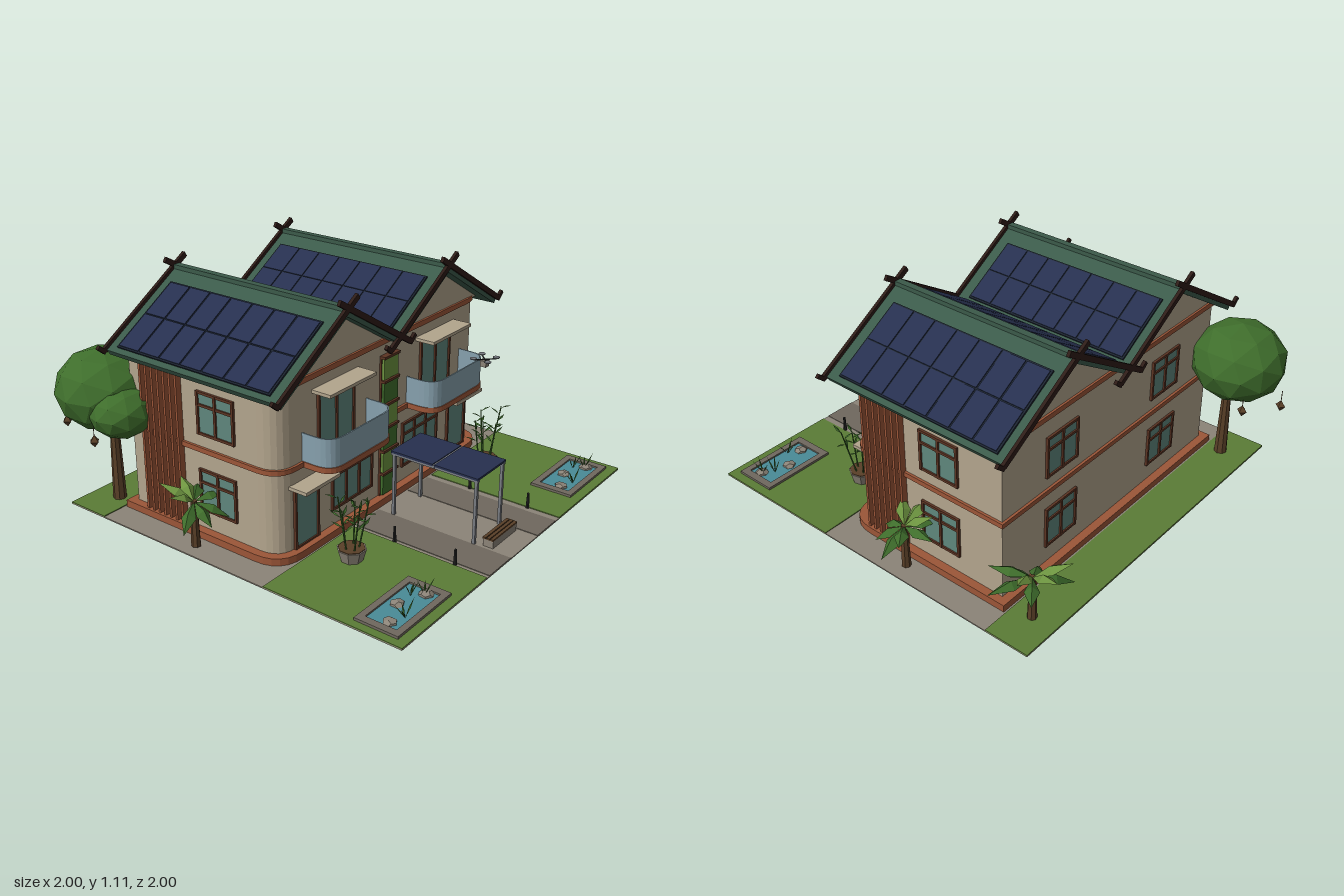
import * as THREE from 'three';

const C = {
  wall: 0xb3a58d, brick: 0x9c5638, frame: 0x5c3423, glass: 0x5f877d, roof: 0x3b5a4a, solar: 0x27304f,
  solarFrame: 0x1c2430, barge: 0x2e1c17, grass: 0x5b7c36, stone: 0x8c8478, paving: 0x6f685e, rail: 0x87a1ae,
  metal: 0x777a80, water: 0x4a8c98, leaf: 0x3f6e2c, leafLight: 0x6d9440, bark: 0x5a4028, dark: 0x222222,
};
const mats = {};
const mat = (c) => (mats[c] ??= new THREE.MeshStandardMaterial({ color: C[c], flatShading: true, side: THREE.DoubleSide }));

function add(parent, name, geo, color, x = 0, y = 0, z = 0) {
  const m = new THREE.Mesh(geo, mat(color));
  m.name = name;
  m.position.set(x, y, z);
  parent.add(m);
  return m;
}
// Box given by its extents
const box = (p, name, color, x0, x1, y0, y1, z0, z1) =>
  add(p, name, new THREE.BoxGeometry(x1 - x0, y1 - y0, z1 - z0), color, (x0 + x1) / 2, (y0 + y1) / 2, (z0 + z1) / 2);

function group(parent, name, x = 0, y = 0, z = 0, ry = 0) {
  const g = new THREE.Group();
  g.name = name;
  g.position.set(x, y, z);
  g.rotation.y = ry;
  parent.add(g);
  return g;
}

// Plan outline with rounded front corners; shape y is -z
function plan(x0, x1, zb, zf, r, T = THREE.Shape) {
  const s = new T();
  s.moveTo(x0, -zb);
  s.lineTo(x0, -zf + r);
  s.quadraticCurveTo(x0, -zf, x0 + r, -zf);
  s.lineTo(x1 - r, -zf);
  s.quadraticCurveTo(x1, -zf, x1, -zf + r);
  s.lineTo(x1, -zb);
  s.closePath();
  return s;
}
function slab(parent, name, color, shape, y0, y1) {
  const geo = new THREE.ExtrudeGeometry(shape, { depth: y1 - y0, bevelEnabled: false, curveSegments: 6 });
  return add(parent, name, geo.rotateX(-Math.PI / 2), color, 0, y0, 0);
}

// Framed window facing +z, with columns and an optional transom
function windowUnit(parent, name, x, y, z, ry, w, h, cols, transom) {
  const g = group(parent, name, x, y, z, ry), t = 0.006;
  box(g, 'glass', 'glass', -w / 2, w / 2, -h / 2, h / 2, -0.01, 0.004);
  for (let i = 0; i <= cols; i++) {
    const bx = -w / 2 + (w * i) / cols;
    box(g, 'mullion', 'frame', bx - t, bx + t, -h / 2 - t, h / 2 + t, -0.01, 0.012);
  }
  for (const by of transom ? [-h / 2, h / 2, h * transom] : [-h / 2, h / 2])
    box(g, 'rail', 'frame', -w / 2, w / 2, by - t, by + t, -0.01, 0.011);
}

// Folded diamond leaf growing along +x
function leafGeo(len, w) {
  const v = [0, 0, 0, len * 0.5, -w * 0.2, w / 2, len, -w * 0.4, 0, len * 0.5, w * 0.2, 0, len * 0.5, -w * 0.2, -w / 2];
  const g = new THREE.BufferGeometry();
  g.setAttribute('position', new THREE.Float32BufferAttribute(v, 3));
  g.setIndex([0, 1, 3, 1, 2, 3, 0, 3, 4, 3, 2, 4]);
  g.computeVertexNormals();
  return g;
}
function leaf(parent, color, len, w, x, y, z, yaw, pitch) {
  const m = add(parent, 'leaf', leafGeo(len, w), color, x, y, z);
  m.rotation.set(0, yaw, pitch, 'YXZ');
}

function palm(parent, x, z, turn, spread) {
  const g = group(parent, 'palm', x, 0.01, z, turn);
  add(g, 'palmTrunk', new THREE.CylinderGeometry(0.014, 0.022, 0.22, 7), 'bark', 0, 0.11, 0);
  for (let i = 0; i < 9; i++)
    leaf(g, i % 3 ? 'leaf' : 'leafLight', spread * (0.85 + 0.15 * (i % 2)), 0.065, 0, 0.215, 0, i * 2.4, [0.65, -0.35, 0.2][i % 3]);
}

function pottedBamboo(parent, x, z, turn) {
  const g = group(parent, 'pottedBamboo', x, 0.01, z, turn);
  add(g, 'pot', new THREE.CylinderGeometry(0.066, 0.05, 0.055, 8), 'stone', 0, 0.028, 0);
  add(g, 'soil', new THREE.CylinderGeometry(0.06, 0.06, 0.006, 8), 'bark', 0, 0.056, 0);
  for (let i = 0; i < 5; i++) {
    const stalk = group(g, 'stalk', 0.03 * Math.cos(i * 1.26), 0.05, 0.03 * Math.sin(i * 1.26), i * 1.26);
    stalk.rotation.set(0, -i * 1.26, -0.12 - 0.06 * (i % 3), 'YXZ');
    const h = 0.2 + 0.03 * (i % 3);
    add(stalk, 'cane', new THREE.CylinderGeometry(0.003, 0.004, h, 5), 'leaf', 0, h / 2, 0);
    for (let k = 0; k < 5; k++) leaf(stalk, 'leaf', 0.06, 0.014, 0, h * (0.45 + 0.13 * k), 0, k * 2.3 + i, 0.6);
  }
}

function pond(parent, x) {
  const g = group(parent, 'pond', x, 0, 0.85);
  box(g, 'pondFloor', 'water', -0.16, 0.16, 0.005, 0.014, -0.075, 0.075);
  for (const s of [-1, 1]) {
    box(g, 'pondEdge', 'paving', s * 0.17 - 0.0175, s * 0.17 + 0.0175, 0.005, 0.022, -0.105, 0.105);
    box(g, 'pondEdge', 'paving', -0.153, 0.153, 0.005, 0.022, s * 0.09 - 0.015, s * 0.09 + 0.015);
  }
  [[-0.12, 0.02], [0, -0.03], [0.125, 0.025]].forEach(([rx, rz], i) => {
    const r = add(g, 'rock', new THREE.DodecahedronGeometry(0.033), 'stone', rx, 0.016, rz);
    r.scale.y = 0.5;
    r.rotation.y = i;
  });
  for (let i = 0; i < 12; i++) {
    const cx = [0.08, 0.12, -0.06][i % 3], cz = [-0.02, 0.02, 0.05][i % 3];
    leaf(g, 'leaf', 0.06 + 0.01 * (i % 4), 0.009, cx, 0.014, cz, i * 1.7, 1.2 - 0.1 * (i % 3));
  }
}

// One roof slope running down from the ridge towards side s
function roofSlope(parent, cx, s, run) {
  const a = 0.55, L = run / Math.cos(a), z0 = -0.65, z1 = 0.325;
  const g = group(parent, 'roofSlope', cx, 1.055, 0);
  g.rotation.z = -s * a;
  const b = (name, color, u0, u1, y0, y1, za, zb) => box(g, name, color, Math.min(s * u0, s * u1), Math.max(s * u0, s * u1), y0, y1, za, zb);
  b('roofSheet', 'roof', 0, L, -0.03, 0, z0, z1);
  b('solarFrame', 'solarFrame', 0.095, 0.495 * (run < 0.4 ? 0.86 : 1), 0, 0.008, -0.605, 0.265);
  const end = run < 0.4 ? 0.42 : 0.49, w = (end - 0.1) / 2, d = 0.86 / 7;
  for (let i = 0; i < 2; i++)
    for (let k = 0; k < 7; k++)
      b('solarPanel', 'solar', 0.1 + i * w + 0.003, 0.1 + (i + 1) * w - 0.003, 0, 0.012, -0.6 + k * d + 0.004, -0.6 + (k + 1) * d - 0.004);
  // Barge boards crossing at the ridge, with upturned ends
  for (const z of [z0 - 0.008, z1 + 0.004]) {
    b('bargeBoard', 'barge', -0.075, 0.53, -0.01, 0.016, z - 0.008, z + 0.008);
    const tip = b('bargeTip', 'barge', 0.515, 0.565, -0.006, 0.014, z - 0.008, z + 0.008);
    tip.position.y += 0.014;
    tip.rotation.z = s * 1.25;
  }
}

export function createModel() {
  const model = new THREE.Group();
  model.name = 'twinHouse';

  // Site
  const site = group(model, 'site');
  box(site, 'ground', 'stone', -0.91, 0.95, 0, 0.006, -0.86, 1);
  box(site, 'backLawn', 'grass', -0.91, 0.95, 0.004, 0.01, -0.86, -0.64);
  box(site, 'leftLawn', 'grass', -0.91, -0.295, 0.004, 0.01, 0.31, 1);
  box(site, 'rightLawn', 'grass', 0.335, 0.95, 0.004, 0.01, 0.31, 1);
  box(site, 'driveStrip', 'paving', -0.275, -0.1, 0.004, 0.009, 0.31, 1);
  box(site, 'driveStrip', 'paving', 0.135, 0.3, 0.004, 0.009, 0.31, 1);

  // Walls, plinth and brick bands follow one plan
  const house = group(model, 'house');
  const outline = (e) => plan(-0.74 - e, 0.78 + e, -0.59 - e, 0.26 + e, 0.11 + e);
  slab(house, 'plinth', 'brick', outline(0.04), 0.004, 0.04);
  slab(house, 'walls', 'wall', outline(0), 0.04, 0.79);
  slab(house, 'floorBand', 'brick', outline(0.012), 0.412, 0.435);
  slab(house, 'eavesBand', 'brick', outline(0.01), 0.785, 0.81);
  for (const cx of [-0.36, 0.4]) {
    const gable = new THREE.Shape([[-0.36, 0.8], [0.36, 0.8], [0, 1.025]].map(([x, y]) => new THREE.Vector2(x + cx, y)));
    add(house, 'gable', new THREE.ExtrudeGeometry(gable, { depth: 0.85, bevelEnabled: false }), 'wall', 0, 0, -0.59);
    const outer = Math.sign(cx);
    roofSlope(house, cx, outer, 0.445);
    roofSlope(house, cx, -outer, 0.38);
    box(house, 'ridgeCap', 'roof', cx - 0.017, cx + 0.017, 1.045, 1.065, -0.65, 0.325);
  }
  box(house, 'valleyGutter', 'roof', 0.005, 0.035, 0.8, 0.825, -0.65, 0.325);

  // Front openings and balconies, mirrored about x = 0.02
  for (const s of [-1, 1]) {
    const X = (d) => 0.02 + s * d;
    const span = (name, color, d, w, y0, y1, z0, z1) => box(house, name, color, X(d) - w / 2, X(d) + w / 2, y0, y1, z0, z1);
    windowUnit(house, 'frontWindow', X(0.265), 0.228, 0.26, 0, 0.285, 0.215, 3, 0.25);
    windowUnit(house, 'frontDoor', X(0.585), 0.185, 0.26, 0, 0.15, 0.285, 1, 0);
    windowUnit(house, 'balconyDoor', X(0.38), 0.572, 0.26, 0, 0.24, 0.275, 2, 0);
    span('doorCanopy', 'wall', 0.575, 0.23, 0.332, 0.348, 0.25, 0.35);
    span('balconyCanopy', 'wall', 0.38, 0.32, 0.72, 0.735, 0.25, 0.36);
    const a = X(0.38) - 0.23, b = X(0.38) + 0.23;
    slab(house, 'balconyFloor', 'brick', plan(a, b, 0.25, 0.42, 0.09), 0.41, 0.436);
    const rail = plan(a + 0.004, b - 0.004, 0.25, 0.416, 0.086);
    rail.holes.push(plan(a + 0.01, b - 0.01, 0.252, 0.41, 0.08, THREE.Path));
    slab(house, 'balconyRail', 'rail', rail, 0.436, 0.565);
    // Back and side windows, and upright fins on the side walls
    const sideX = X(0.76), sideZ = s > 0 ? -0.255 : -0.075;
    for (const y of [0.23, 0.595]) {
      windowUnit(house, 'backWindow', X(0.38), y, -0.59, Math.PI, 0.2, 0.19, 2, 0.2);
      windowUnit(house, 'sideWindow', sideX, y, sideZ, (s * Math.PI) / 2, 0.2, 0.19, 2, 0.2);
    }
    for (let i = 0; i < 7; i++) {
      const z = -0.165 + s * (0.33 - i * 0.036);
      box(house, 'fin', 'brick', sideX - 0.03, sideX + 0.03, 0.04, 0.785, z - 0.006, z + 0.006);
    }
  }

  // Planted wall between the two halves
  const green = group(house, 'plantedWall');
  box(green, 'backing', 'frame', -0.04, 0.078, 0.04, 0.73, 0.255, 0.27);
  for (let i = 0; i < 6; i++) {
    const y = 0.045 + i * 0.115;
    box(green, 'planting', i % 2 ? 'leafLight' : 'leaf', -0.035, 0.073, y, y + 0.1, 0.26, 0.283);
    box(green, 'planter', 'frame', -0.04, 0.078, y + 0.1, y + 0.112, 0.26, 0.29);
  }

  // Solar canopy over the path
  const canopy = group(model, 'solarCanopy');
  for (const x of [-0.09, 0.125]) {
    for (const z of [0.385, 0.81]) box(canopy, 'post', 'metal', x - 0.007, x + 0.007, 0.006, 0.31, z - 0.007, z + 0.007);
    box(canopy, 'beam', 'metal', x - 0.007, x + 0.007, 0.305, 0.318, 0.37, 0.82);
  }
  for (const z of [0.37, 0.6]) box(canopy, 'canopyPanel', 'solar', -0.1, 0.136, 0.316, 0.326, z, z + 0.22);
  box(canopy, 'crossBeam', 'metal', -0.1, 0.136, 0.308, 0.322, 0.59, 0.6);

  // Bench and bollards
  const bench = group(model, 'bench');
  box(bench, 'benchBase', 'stone', -0.08, 0.12, 0.006, 0.042, 0.85, 0.9);
  for (let i = 0; i < 3; i++) box(bench, 'benchSlat', 'bark', -0.083, 0.123, 0.042, 0.05, 0.848 + i * 0.019, 0.863 + i * 0.019);
  for (const x of [-0.29, 0.33])
    for (const z of [0.53, 0.84]) add(model, 'bollard', new THREE.CylinderGeometry(0.006, 0.009, 0.075, 6), 'dark', x, 0.045, z);

  // Hovering drone
  const drone = group(model, 'drone', 0.277, 0.683, 0.607);
  box(drone, 'droneBody', 'stone', -0.015, 0.015, -0.014, 0.014, -0.015, 0.015);
  for (const sx of [-1, 1])
    for (const sz of [-1, 1]) add(drone, 'rotor', new THREE.CylinderGeometry(0.016, 0.016, 0.004, 8), 'metal', sx * 0.037, 0.025, sz * 0.037);
  for (const r of [0.785, -0.785]) {
    const arm = box(drone, 'rotorArm', 'dark', -0.052, 0.052, 0.016, 0.021, -0.002, 0.002);
    arm.rotation.y = r;
  }

  // Garden
  for (const x of [-0.685, 0.72]) pond(model, x);
  pottedBamboo(model, -0.52, 0.47, 0.4);
  pottedBamboo(model, 0.56, 0.47, 2.2);
  palm(model, 0.77, -0.74, 0.3, 0.22);
  palm(model, -0.84, -0.13, 1.2, 0.17);
  palm(model, 0.87, -0.12, 2.1, 0.17);

  // Fruit tree
  const tree = group(model, 'tree');
  add(tree, 'treeTrunk', new THREE.CylinderGeometry(0.02, 0.032, 0.42, 8), 'bark', -0.74, 0.21, -0.72);
  add(tree, 'crown', new THREE.IcosahedronGeometry(0.228, 1), 'leaf', -0.737, 0.555, -0.765).scale.y = 0.85;
  add(tree, 'lowerCrown', new THREE.IcosahedronGeometry(0.15, 1), 'leaf', -0.79, 0.5, -0.6).scale.y = 0.8;
  for (const [x, y, z] of [[-0.91, 0.38, -0.66], [-0.8, 0.352, -0.975], [-0.62, 0.37, -0.87]]) {
    add(tree, 'fruit', new THREE.OctahedronGeometry(0.025), 'bark', x, y, z).scale.y = 1.2;
    add(tree, 'fruitStem', new THREE.CylinderGeometry(0.002, 0.002, 0.06, 4), 'bark', x, y + 0.05, z);
  }
  return model;
}
